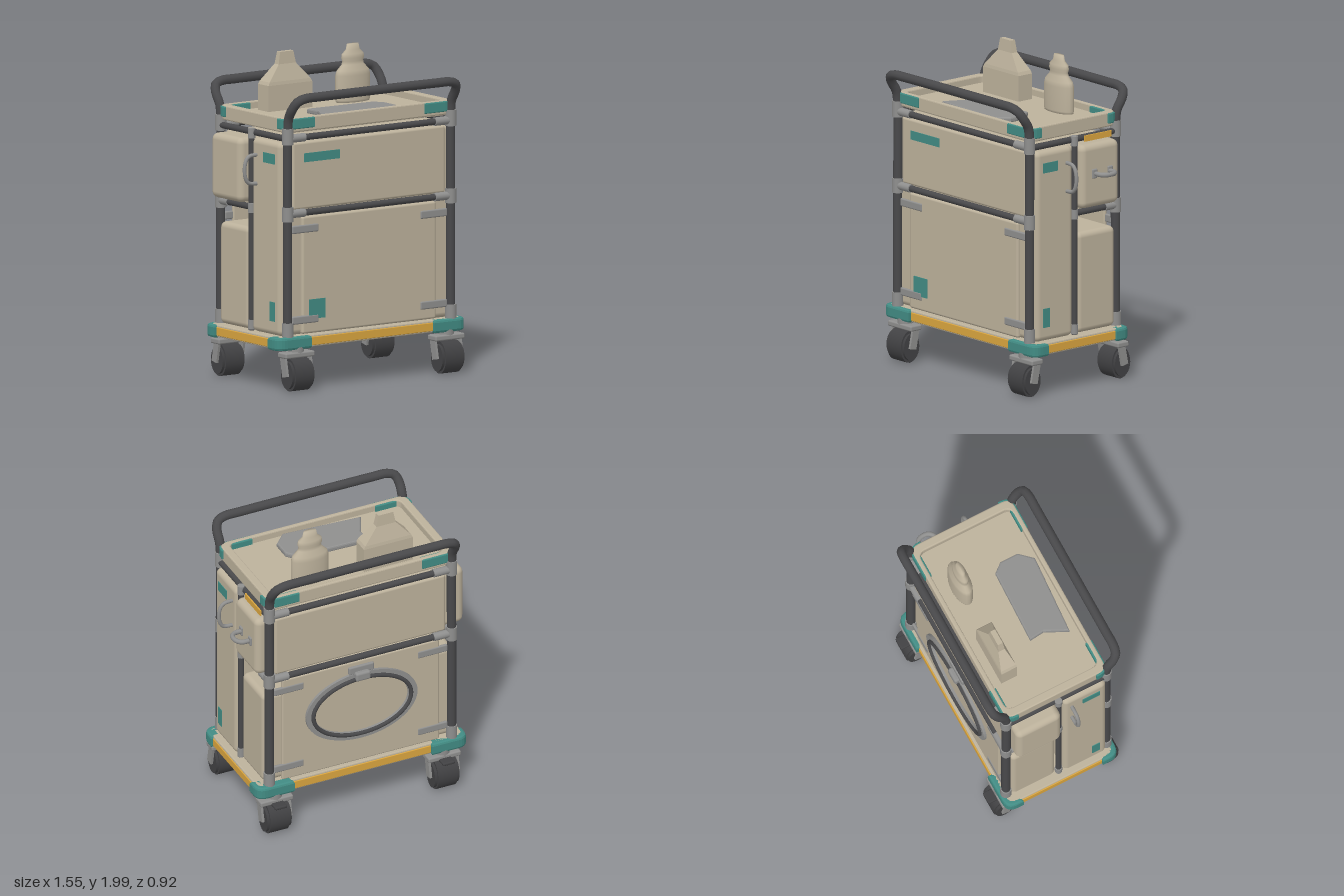
import * as THREE from 'three';
import { RoundedBoxGeometry } from 'three/addons/geometries/RoundedBoxGeometry.js';

const mat = (name, color) => Object.assign(new THREE.MeshStandardMaterial({ color }), { name });
const V = (x, y, z) => new THREE.Vector3(x, y, z);

export function createModel() {
  const root = new THREE.Group();
  root.name = 'utilityCart';
  // The cart body sits slightly to one side, as its pull handles differ
  const body = new THREE.Group();
  body.name = 'cartBody';
  body.position.x = -0.015;
  root.add(body);
  const beige = mat('beige', 0xbdb29c), teal = mat('teal', 0x428c84), yellow = mat('yellow', 0xdba63f);
  const dark = mat('darkTube', 0x49494b), grey = mat('grey', 0x8f8f8e), black = mat('rubber', 0x424244);
  const both = [-1, 1];

  const add = (name, geo, material, x = 0, y = 0, z = 0) => {
    const m = new THREE.Mesh(geo, material);
    m.name = name;
    m.position.set(x, y, z);
    body.add(m);
    return m;
  };
  // Box given by its limits, with rounded edges when r > 0
  const box = (name, material, x0, x1, y0, y1, z0, z1, r = 0) => {
    const s = [x1 - x0, y1 - y0, z1 - z0];
    const geo = r ? new RoundedBoxGeometry(...s, 3, r) : new THREE.BoxGeometry(...s);
    return add(name, geo, material, (x0 + x1) / 2, (y0 + y1) / 2, (z0 + z1) / 2);
  };
  const rod = (name, material, a, b, r) => {
    const d = b.clone().sub(a);
    const m = add(name, new THREE.CylinderGeometry(r, r, d.length(), 14), material);
    m.position.copy(a).add(b).multiplyScalar(0.5);
    m.quaternion.setFromUnitVectors(V(0, 1, 0), d.normalize());
    return m;
  };
  const tube = (name, material, pts, r, closed = false, seg = 40) =>
    add(name, new THREE.TubeGeometry(new THREE.CatmullRomCurve3(pts, closed), seg, r, 10, closed), material);
  const roundRect = (T, w, d, r) => {
    const s = new T();
    s.moveTo(-w + r, -d);
    s.lineTo(w - r, -d); s.quadraticCurveTo(w, -d, w, -d + r);
    s.lineTo(w, d - r); s.quadraticCurveTo(w, d, w - r, d);
    s.lineTo(-w + r, d); s.quadraticCurveTo(-w, d, -w, d - r);
    s.lineTo(-w, -d + r); s.quadraticCurveTo(-w, -d, -w + r, -d);
    return s;
  };
  // Horizontal plate extruded upward from y0 to y1, bevelled by b
  const slab = (name, material, shape, y0, y1, b = 0) => {
    const geo = new THREE.ExtrudeGeometry(shape, {
      depth: y1 - y0 - 2 * b, bevelEnabled: b > 0, bevelSize: b, bevelThickness: b,
      bevelOffset: -b, bevelSegments: 2, curveSegments: 6,
    });
    geo.rotateX(-Math.PI / 2);
    return add(name, geo, material, 0, y0 + b, 0);
  };
  // L-shaped corner guard with a rounded outer corner
  const cornerGuards = (name, X, Z, lx, lz, t, r, y0, y1, b) => {
    for (const sx of both) for (const sz of both) {
      const s = new THREE.Shape();
      s.moveTo(sx * (X - lx), sz * Z);
      s.lineTo(sx * (X - r), sz * Z);
      s.quadraticCurveTo(sx * X, sz * Z, sx * X, sz * (Z - r));
      s.lineTo(sx * X, sz * (Z - lz));
      s.lineTo(sx * (X - t), sz * (Z - lz));
      s.lineTo(sx * (X - t), sz * (Z - t));
      s.lineTo(sx * (X - lx), sz * (Z - t));
      s.closePath();
      slab(name, teal, s, y0, y1, b);
    }
  };

  // Base deck with bumpers under its lip
  slab('baseDeck', beige, roundRect(THREE.Shape, 0.695, 0.366, 0.06), 0.27, 0.345, 0.008);
  cornerGuards('baseCorner', 0.713, 0.388, 0.25, 0.115, 0.07, 0.07, 0.265, 0.345, 0.015);
  for (const s of both) {
    box('longBumper', yellow, -0.465, 0.465, 0.28, 0.332, s * 0.362 - 0.01, s * 0.362 + 0.01, 0.004);
    box('shortBumper', yellow, s * 0.691 - 0.01, s * 0.691 + 0.01, 0.28, 0.332, -0.275, 0.275, 0.004);
  }

  // Casters
  for (const x of [-0.55, 0.582]) for (const s of both) {
    const z = s * 0.36;
    const wheel = new THREE.CylinderGeometry(0.1, 0.1, 0.13, 24).rotateZ(Math.PI / 2);
    add('wheel', wheel, black, x, 0.11, z).scale.z = 0.72;
    const side = new THREE.CylinderGeometry(0.085, 0.085, 0.165, 24).rotateZ(Math.PI / 2);
    add('wheelSide', side, black, x, 0.11, z).scale.z = 0.72;
    rod('axle', grey, V(x - 0.1, 0.12, z), V(x + 0.1, 0.12, z), 0.02);
    box('casterPlate', grey, x - 0.11, x + 0.11, 0.215, 0.25, z - 0.045 - s * 0.015, z + 0.045 - s * 0.015, 0.01);
    rod('casterSwivel', grey, V(x, 0.24, z - s * 0.02), V(x, 0.28, z - s * 0.02), 0.05);
    for (const e of both) {
      const fork = box('casterFork', grey, x + e * 0.094 - 0.008, x + e * 0.094 + 0.008, 0.1, 0.24,
        z - 0.025 - s * 0.01, z + 0.025 - s * 0.01);
      fork.rotation.x = -s * 0.2;
    }
    if (s < 0) box('brakePedal', black, x - 0.04, x + 0.04, 0.21, 0.23, -0.45, -0.38, 0.008);
  }

  // Posts running up into the push handles
  const px = 0.615;
  for (const s of both) {
    const half = [[px, 0.33, 0.345], [px, 1, 0.345], [px, 1.6, 0.345], [px, 1.69, 0.355],
      [px, 1.755, 0.395], [0.595, 1.8, 0.422], [0.545, 1.818, 0.43], [0.45, 1.82, 0.43]];
    const right = half.map(([x, y, z]) => V(x, y, s * z));
    const left = half.map(([x, y, z]) => V(-x, y, s * z)).reverse();
    tube('postAndHandle', dark, [...right, ...left], 0.029, false, 160);
    // Cross bars and their sockets
    for (const y of [1.1, 1.565]) {
      rod('crossBar', dark, V(-px, y, s * 0.345), V(px, y, s * 0.345), 0.02);
      for (const e of both)
        rod('barSocket', grey, V(e * 0.49, y, s * 0.345), V(e * px, y, s * 0.345), 0.026);
    }
    // Grey clamps and feet around the posts
    for (const e of both) for (const [y0, y1] of [[0.34, 0.43], [1.055, 1.145], [1.53, 1.63]])
      rod('postClamp', grey, V(e * px, y0, s * 0.345), V(e * px, y1, s * 0.345), 0.035);
  }

  // Side rails and middle posts
  for (const e of both) {
    rod('sideRail', dark, V(e * 0.62, 1.565, -0.345), V(e * 0.62, 1.565, 0.345), 0.02);
    rod('sideRailLow', dark, V(e * 0.62, 1.1, -0.345), V(e * 0.62, 1.1, 0), 0.02);
    rod('sideRailSocket', grey, V(e * 0.62, 1.1, -0.345), V(e * 0.62, 1.1, -0.25), 0.025);
    rod('middlePost', dark, V(e * 0.638, 0.34, 0.005), V(e * 0.638, 1.57, 0.005), 0.018);
    for (const y of [0.38, 1.1, 1.56])
      rod('middleClamp', grey, V(e * 0.638, y - 0.03, 0.005), V(e * 0.638, y + 0.03, 0.005), 0.023);
  }
  box('sideTag', yellow, 0.64, 0.649, 1.543, 1.58, -0.285, -0.07);

  // Front cabinet: body, drawer front and door
  box('frontCabinet', beige, -0.66, 0.66, 0.345, 1.54, 0.03, 0.328, 0.035);
  box('drawerFront', beige, -0.575, 0.575, 1.12, 1.535, 0.29, 0.345, 0.015);
  box('frontDoor', beige, -0.505, 0.505, 0.35, 1.075, 0.29, 0.348, 0.015);
  box('drawerLabel', teal, -0.49, -0.225, 1.41, 1.465, 0.343, 0.35);
  box('doorLabel', teal, -0.457, -0.335, 0.44, 0.56, 0.346, 0.353);
  // Rear bin, rear cabinet and thin back panel
  box('rearBin', beige, -0.715, 0.69, 1.13, 1.53, -0.318, -0.01, 0.04);
  box('rearBinPanel', beige, -0.575, 0.575, 1.125, 1.53, -0.345, -0.3, 0.015);
  box('rearCabinet', beige, -0.645, 0.645, 0.345, 0.975, -0.322, -0.015, 0.035);
  box('backPanel', beige, -0.53, 0.53, 0.35, 1.075, -0.35, -0.327, 0.01);

  // Corner latches on the front door and back panel
  for (const s of both) for (const e of both) for (const y of [0.44, 1.0])
    box('latch', grey, e * 0.485 - 0.1, e * 0.485 + 0.1, y - 0.025, y + 0.025, s * 0.345 - 0.01, s * 0.345 + 0.01, 0.009);

  // Side labels and pull handles
  for (const e of both) {
    box('upperSideLabel', teal, e * 0.66 - 0.004, e * 0.66 + 0.004, 1.403, 1.465, 0.16, 0.278);
    box('lowerSideLabel', teal, e * 0.66 - 0.004, e * 0.66 + 0.004, 0.433, 0.552, 0.225, 0.277);
    tube('cabinetPull', grey, [[0.65, 1.26], [0.72, 1.27], [0.745, 1.31], [0.745, 1.39], [0.72, 1.43], [0.65, 1.44]]
      .map(([x, y]) => V(e * x, y, 0.085)), 0.012);
  }
  tube('binPull', grey, [[0.68, -0.23], [0.74, -0.228], [0.768, -0.2], [0.768, -0.145], [0.74, -0.118], [0.68, -0.115]]
    .map(([x, z]) => V(x, 1.345, z)), 0.015);
  for (const z of [-0.235, -0.11]) box('binPullPad', grey, 0.68, 0.7, 1.315, 1.375, z - 0.02, z + 0.02, 0.008);

  // Flat oval hoop on the back panel, with a cord around it
  const band = new THREE.Shape().absellipse(0, 0, 0.375, 0.238, 0, Math.PI * 2);
  band.holes.push(new THREE.Path().absellipse(0, 0, 0.315, 0.188, 0, Math.PI * 2));
  add('hoop', new THREE.ExtrudeGeometry(band, { depth: 0.02, bevelEnabled: false, curveSegments: 32 }), grey, 0, 0.76, -0.368);
  const cord = Array.from({ length: 24 }, (_, i) => {
    const a = i / 24 * Math.PI * 2;
    return V(Math.cos(a) * 0.33, 0.76 + Math.sin(a) * 0.2, -0.372);
  });
  tube('hoopCord', dark, cord, 0.013, true, 64);
  box('hoopHook', grey, -0.05, 0.05, 0.95, 1.01, -0.395, -0.34, 0.015);
  box('hoopStrap', grey, -0.085, 0.085, 0.99, 1.045, -0.365, -0.34, 0.01);

  // Top tray: rim, recessed floor and corner guards
  const rim = roundRect(THREE.Shape, 0.63, 0.347, 0.06);
  rim.holes.push(roundRect(THREE.Path, 0.575, 0.318, 0.05));
  slab('trayRim', beige, rim, 1.6, 1.69, 0.008);
  slab('trayFloor', beige, roundRect(THREE.Shape, 0.6, 0.33, 0.05), 1.595, 1.645);
  cornerGuards('trayCorner', 0.641, 0.354, 0.226, 0.085, 0.045, 0.07, 1.62, 1.685, 0.006);

  // Folded cloth on the tray
  const cloth = new THREE.Shape([[-0.235, -0.025], [0.245, -0.04], [0.295, -0.1], [0.295, -0.22],
    [0.22, -0.3], [-0.295, -0.265], [-0.225, -0.12]].map(([x, y]) => new THREE.Vector2(x, y)));
  slab('cloth', grey, cloth, 1.64, 1.675, 0.01);

  // Bottles: lathed profiles squashed to flat sections
  const bottle = (name, profile, sides, turn, x, z, depth) => {
    let geo = new THREE.LatheGeometry(profile.map(([r, y]) => new THREE.Vector2(r, y)), sides).rotateY(turn);
    if (sides === 4) {
      geo = geo.toNonIndexed();
      geo.computeVertexNormals();
    }
    add(name, geo, beige, x, 1.64, z).scale.z = depth;
  };
  const q = Math.SQRT2; // square section: corner radius from half width
  bottle('jug', [[0, 0], [0.165, 0], [0.165, 0.165], [0.155, 0.185], [0.065, 0.285], [0.06, 0.31], [0.05, 0.36], [0, 0.36]]
    .map(([r, y]) => [r * q, y]), 4, Math.PI / 4, -0.23, -0.205, 0.33);
  bottle('sprayBottle', [[0, 0], [0.118, 0], [0.125, 0.02], [0.125, 0.17], [0.115, 0.2], [0.08, 0.235], [0.075, 0.255],
    [0.083, 0.275], [0.078, 0.3], [0.05, 0.325], [0.042, 0.36], [0, 0.36]], 20, 0, 0.268, -0.19, 0.45);

  return root;
}
